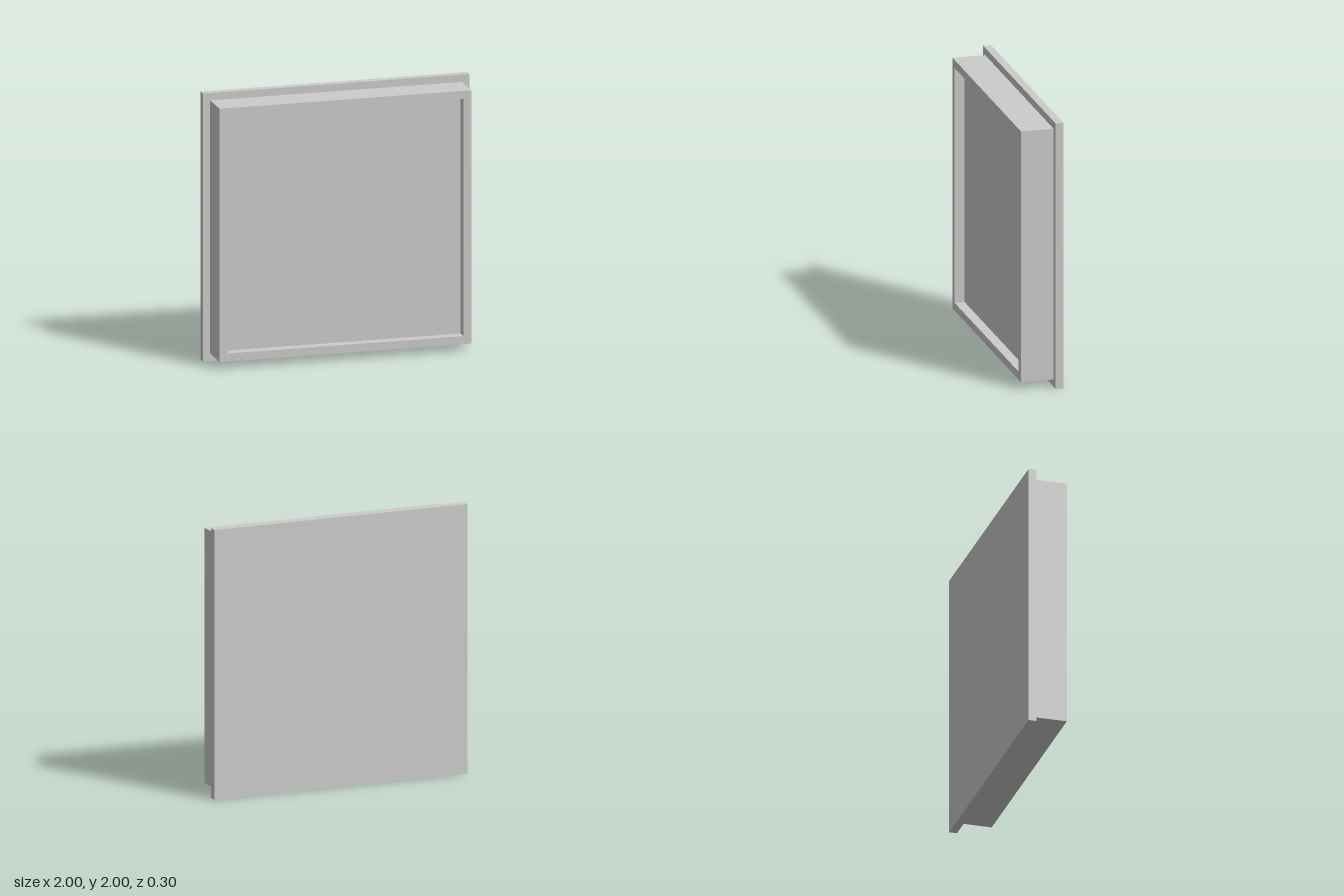
import * as THREE from 'three';

const BACK = -0.152, SPLIT = -0.093, FLOOR = 0.077, FRONT = 0.152; // z levels
const OUTER = 1.89, INNER = 1.77; // raised body and recess sizes

export function createModel() {
  const group = new THREE.Group();
  const material = new THREE.MeshStandardMaterial({ color: 0xcccccc });

  const add = (name, geometry, z) => {
    const mesh = new THREE.Mesh(geometry, material);
    mesh.name = name;
    mesh.position.set(0, 1, z);
    group.add(mesh);
  };
  const slab = (name, size, z0, z1) =>
    add(name, new THREE.BoxGeometry(size, size, z1 - z0), (z0 + z1) / 2);
  const trace = (path, size) => {
    const h = size / 2;
    return path.moveTo(-h, -h).lineTo(h, -h).lineTo(h, h).lineTo(-h, h).closePath();
  };

  // Wide flange plate at the back
  slab('backPlate', 2, BACK, SPLIT);

  // Raised body, its front face being the floor of the recess
  slab('body', OUTER, SPLIT, FLOOR);

  // Square rim around the shallow front recess
  const outline = new THREE.Shape();
  trace(outline, OUTER);
  const opening = new THREE.Path();
  trace(opening, INNER);
  outline.holes.push(opening);
  add('frontRim', new THREE.ExtrudeGeometry(outline, { depth: FRONT - FLOOR, bevelEnabled: false }), FLOOR);

  return group;
}
